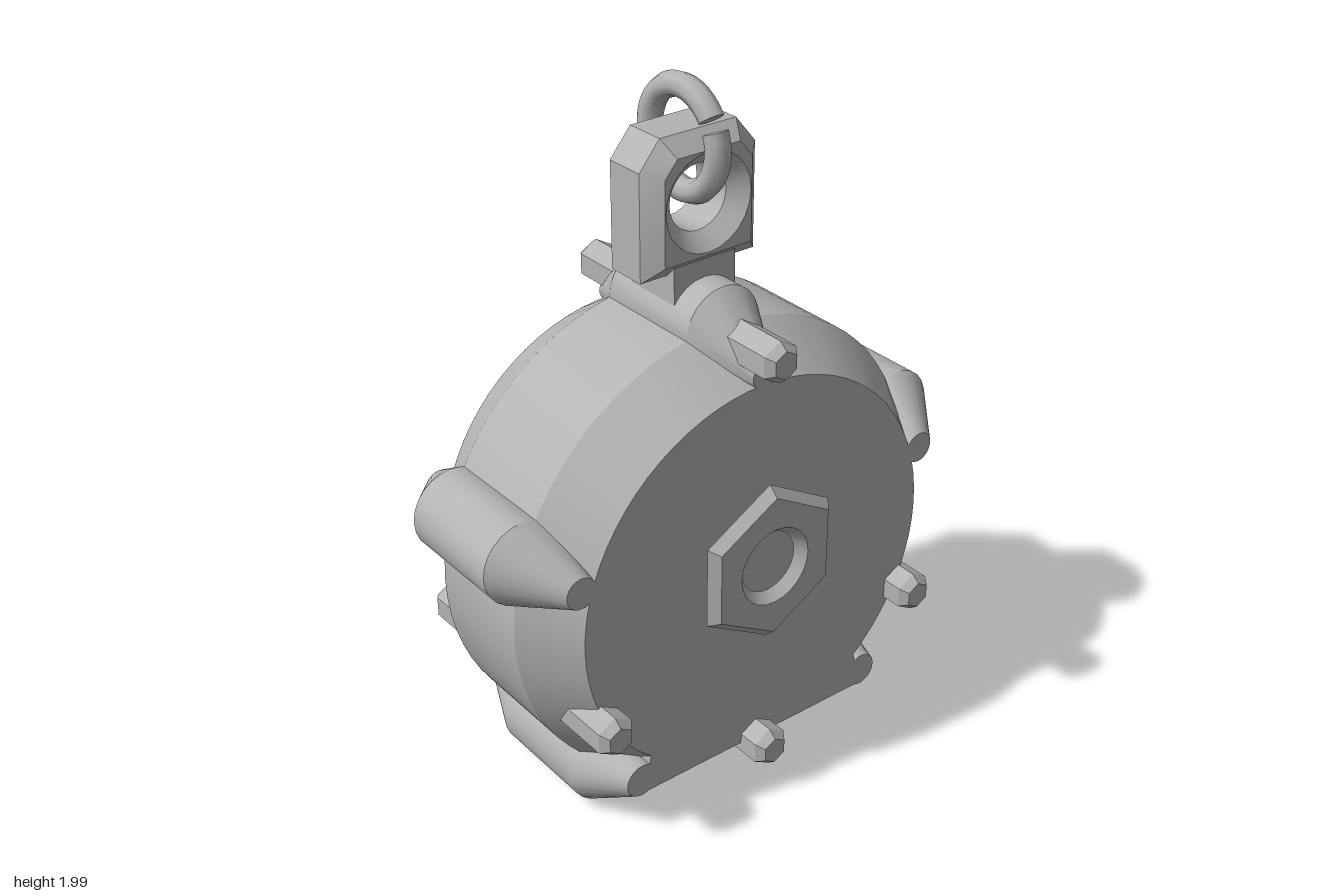
import * as THREE from 'three';
import { toCreasedNormals } from 'three/addons/utils/BufferGeometryUtils.js';

const CY = 0.69; // centre height of the drum
const deg = Math.PI / 180;

// Closed loop in the xy plane, counter-clockwise; radius may depend on angle
function loop(cx, cy, z, radius, n) {
  return Array.from({ length: n }, (_, i) => {
    const a = Math.PI / 2 + (i / n) * Math.PI * 2;
    const r = typeof radius === 'function' ? radius(a) : radius;
    return [cx + r * Math.cos(a), cy + r * Math.sin(a), z];
  });
}

// Skin a series of loops from back to front, with optional end caps
function loft(loops, cap = true, crease = 30) {
  const pos = [];
  const n = loops[0].length;
  const tri = (...p) => p.forEach((v) => pos.push(...v));
  for (let i = 0; i < loops.length - 1; i++) {
    for (let j = 0; j < n; j++) {
      const k = (j + 1) % n;
      const [a, b, c, d] = [loops[i][j], loops[i][k], loops[i + 1][k], loops[i + 1][j]];
      tri(a, b, c);
      tri(a, c, d);
    }
  }
  if (cap) {
    const first = loops[0], last = loops[loops.length - 1];
    const mid = (l) => [0, 1, 2].map((c) => l.reduce((s, p) => s + p[c], 0) / n);
    for (let j = 0; j < n; j++) {
      const k = (j + 1) % n;
      tri(mid(first), first[k], first[j]);
      tri(mid(last), last[j], last[k]);
    }
  }
  const g = new THREE.BufferGeometry();
  g.setAttribute('position', new THREE.Float32BufferAttribute(pos, 3));
  return toCreasedNormals(g, crease * deg);
}

export function createModel() {
  const model = new THREE.Group();
  const grey = new THREE.MeshStandardMaterial({ color: 0xb4b4b4 });
  grey.name = 'plainGrey';
  const add = (name, geometry, parent = model) => {
    const mesh = new THREE.Mesh(geometry, grey);
    mesh.name = name;
    parent.add(mesh);
    return mesh;
  };

  // Drum: round band tapering to faces that are flat along the bottom
  const faceRadius = (a) => {
    const fromBottom = Math.abs(a - 1.5 * Math.PI);
    return fromBottom < 38.5 * deg ? 0.555 / Math.cos(fromBottom) : 0.575;
  };
  add('drum', loft([
    loop(0, CY, -0.33, faceRadius, 72),
    loop(0, CY, -0.165, 0.68, 72),
    loop(0, CY, 0.165, 0.68, 72),
    loop(0, CY, 0.33, faceRadius, 72),
  ]));

  // Five rounded lugs around the rim, narrowing toward both faces
  const lugs = [
    [0, 1.36, 0, 1.29, 0.035],
    [0.64, 0.9, 0.58, 0.87, 0.045],
    [-0.64, 0.9, -0.58, 0.87, 0.045],
    [0.4, 0.14, 0.4, 0.18, 0.05],
    [-0.4, 0.14, -0.4, 0.18, 0.05],
  ];
  for (const [x, y, ex, ey, er] of lugs) {
    add('rimLug', loft([
      loop(ex, ey, -0.33, er, 24),
      loop(x, y, -0.165, 0.12, 24),
      loop(x, y, 0.165, 0.12, 24),
      loop(ex, ey, 0.33, er, 24),
    ]));
  }

  // Hexagonal bolts running through the drum
  for (const [x, y] of [[0, 1.355], [0.53, 0.435], [-0.53, 0.435], [0, 0.135]]) {
    add('bolt', loft([
      loop(x, y, -0.415, 0.04, 6),
      loop(x, y, -0.39, 0.06, 6),
      loop(x, y, 0.39, 0.06, 6),
      loop(x, y, 0.415, 0.04, 6),
    ], true, 10));
  }

  // Bevelled hexagonal plates with a flared hole, front and back
  const hex = (size) => (a) => {
    const t = (((a - Math.PI / 2) % (Math.PI / 3)) + Math.PI / 3) % (Math.PI / 3);
    return (size * Math.cos(Math.PI / 6)) / Math.cos(t - Math.PI / 6);
  };
  const plate = loft([
    loop(0, 0.745, 0.365, 0.09, 24),
    loop(0, 0.745, 0.365, hex(0.24), 24),
    loop(0, 0.745, 0.395, hex(0.212), 24),
    loop(0, 0.745, 0.395, 0.115, 24),
    loop(0, 0.745, 0.365, 0.09, 24),
  ], false);
  add('frontHexPlate', plate);
  add('backHexPlate', plate).rotation.y = Math.PI;

  // Neck between drum and hanger
  add('neck', new THREE.BoxGeometry(0.2, 0.12, 0.18)).position.y = 1.47;

  // Hanger block: chamfered outline with a flared round eye
  const outline = new THREE.Shape([
    [-0.14, 1.545], [0.14, 1.545], [0.14, 1.782], [0.1, 1.83], [-0.1, 1.83], [-0.14, 1.782],
  ].map(([x, y]) => new THREE.Vector2(x, y)));
  outline.holes.push(new THREE.Path().absarc(0, 1.69, 0.137, 0, Math.PI * 2, true));
  const hanger = new THREE.ExtrudeGeometry(outline, {
    depth: 0.12, bevelThickness: 0.045, bevelSize: 0.045, bevelSegments: 1, curveSegments: 12,
  });
  hanger.translate(0, 0, -0.06);
  add('hangerBlock', toCreasedNormals(hanger, 32 * deg));

  // Split ring through the eye, with a gap at the upper front
  const ring = new THREE.Group();
  ring.name = 'splitRing';
  ring.position.y = 1.83;
  ring.rotation.y = -Math.PI / 2;
  model.add(ring);
  const R = 0.138, tube = 0.034, start = 36 * deg, arc = 346 * deg;
  const torus = new THREE.TorusGeometry(R, tube, 8, 36, arc);
  torus.rotateZ(start);
  add('ringBody', toCreasedNormals(torus, 50 * deg), ring);
  for (const [angle, tilt] of [[start, Math.PI / 2], [start + arc, -Math.PI / 2]]) {
    const end = add('ringEnd', new THREE.CircleGeometry(tube, 8), ring);
    end.position.set(R * Math.cos(angle), R * Math.sin(angle), 0);
    end.rotation.set(tilt, 0, angle, 'ZYX');
  }

  return model;
}
